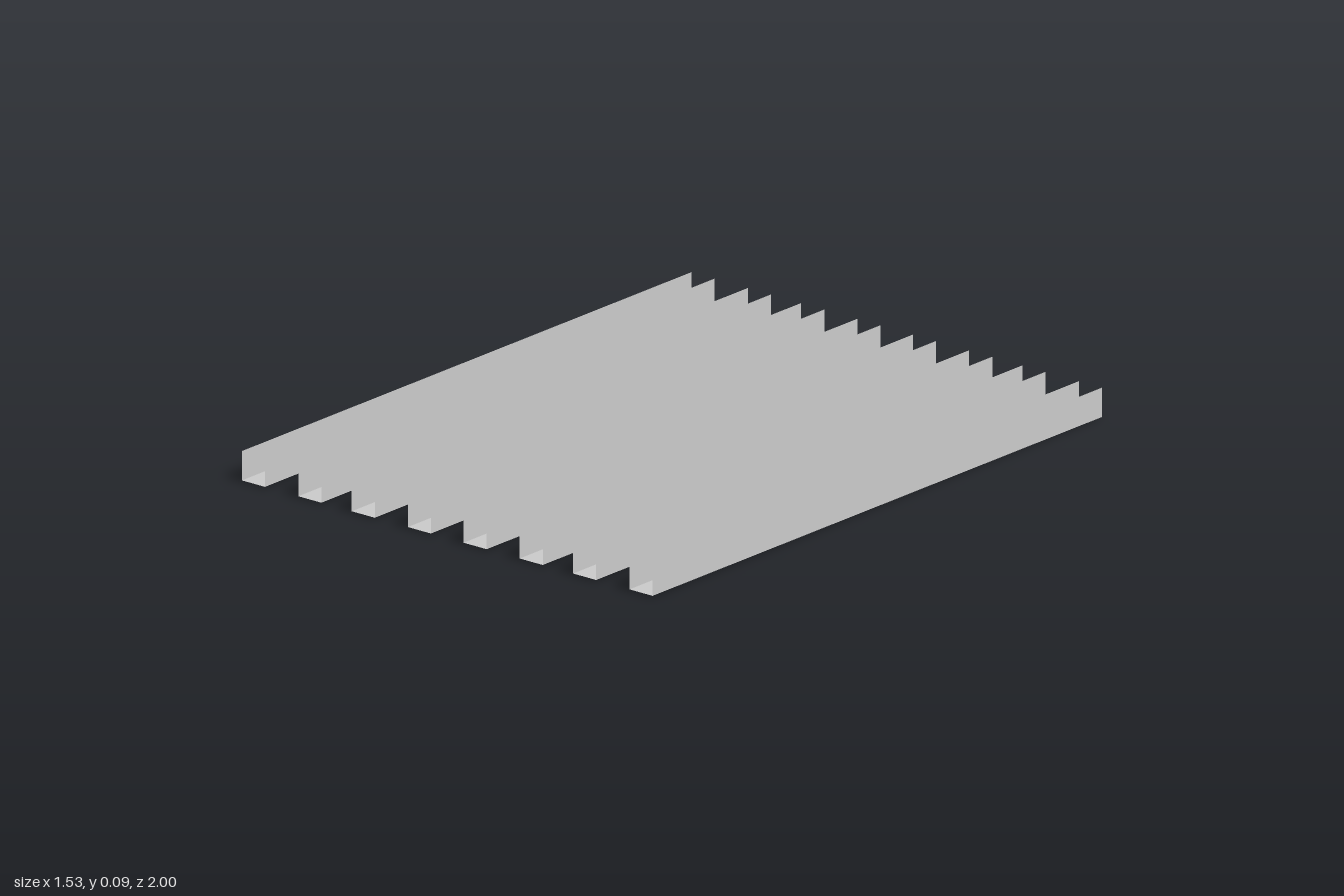
import * as THREE from 'three';

const WIDTH = 0.086, HEIGHT = 0.089, LENGTH = 2, RISE = 0.004;

// Thin U-shaped channel, open at the top and both ends, rising slightly to the front
function channelGeometry() {
  const profile = [[-WIDTH / 2, HEIGHT], [-WIDTH / 2, 0], [WIDTH / 2, 0], [WIDTH / 2, HEIGHT]];
  const geometry = new THREE.PlaneGeometry(1, LENGTH, profile.length - 1, 1);
  geometry.rotateX(-Math.PI / 2);
  const pos = geometry.attributes.position;
  for (let i = 0; i < pos.count; i++) {
    const [x, y] = profile[i % profile.length];
    const z = pos.getZ(i);
    pos.setXYZ(i, x, y + RISE * (z / LENGTH + 0.5), z);
  }
  geometry.computeVertexNormals();
  return geometry;
}

export function createModel() {
  const model = new THREE.Group();
  model.name = 'channelRails';
  const material = new THREE.MeshStandardMaterial({
    color: 0xcccccc, flatShading: true, side: THREE.DoubleSide,
  });
  const geometry = channelGeometry();

  // Four mirrored pairs of parallel rails
  [0.104, 0.313, 0.512, 0.722].forEach((x, i) => {
    for (const side of [-1, 1]) {
      const rail = new THREE.Mesh(geometry, material);
      rail.name = `${side > 0 ? 'left' : 'right'}Rail${i + 1}`;
      rail.position.x = side * x;
      model.add(rail);
    }
  });
  return model;
}
